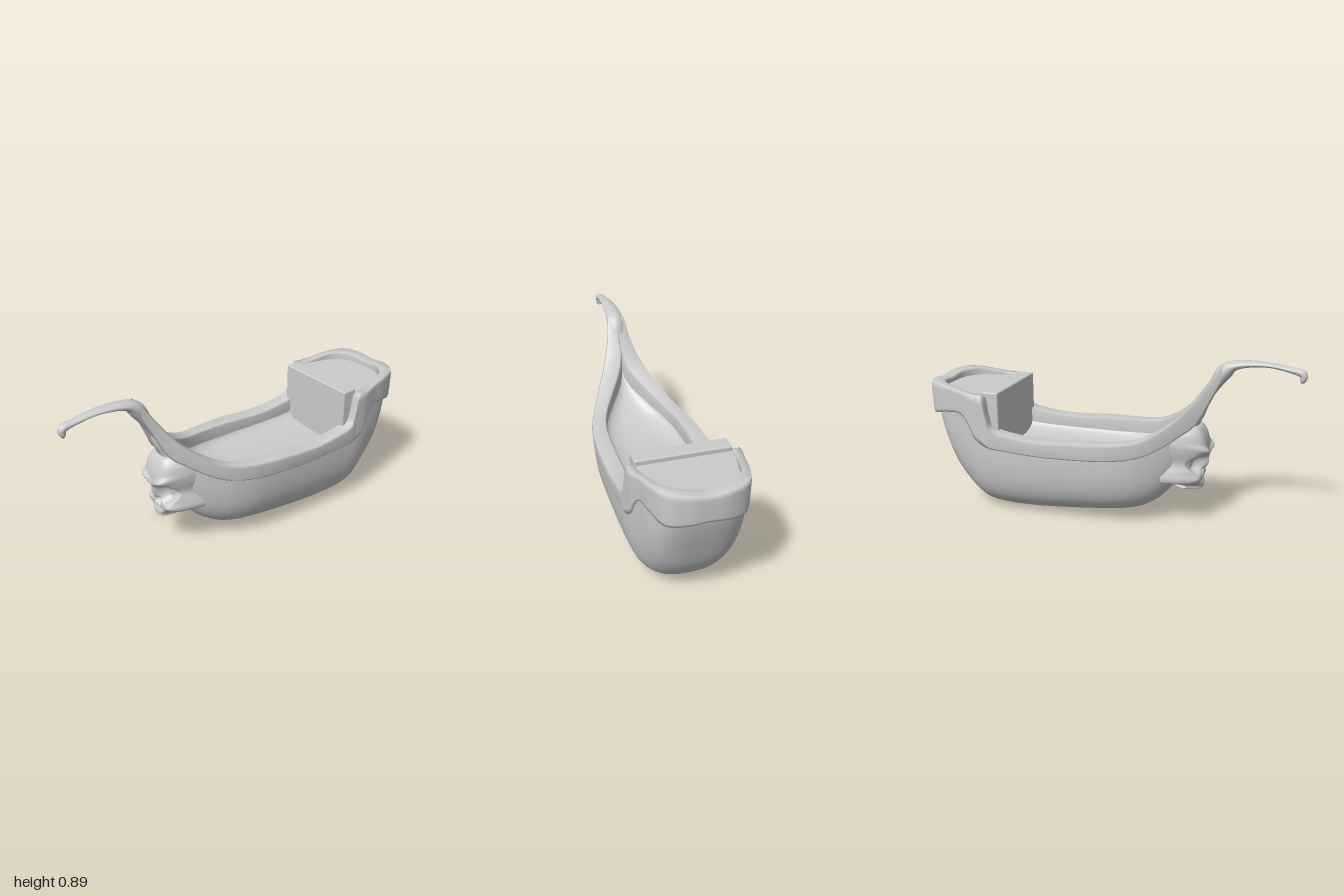
import * as THREE from 'three';
import { RoundedBoxGeometry } from 'three/addons/geometries/RoundedBoxGeometry.js';

const material = new THREE.MeshStandardMaterial({ color: 0xcccccc, side: THREE.DoubleSide });

// Catmull-Rom interpolation of rows of numbers, n steps per span
function spline(rows, n) {
  const out = [];
  const at = i => rows[Math.min(Math.max(i, 0), rows.length - 1)];
  for (let i = 0; i < rows.length - 1; i++) {
    for (let s = 0; s < n; s++) {
      const t = s / n;
      out.push(rows[i].map((b, k) => {
        const a = at(i - 1)[k], c = at(i + 1)[k], d = at(i + 2)[k];
        return b + 0.5 * t * (c - a + t * (2 * a - 5 * b + 4 * c - d + t * (3 * (b - c) + d - a)));
      }));
    }
  }
  out.push(rows[rows.length - 1]);
  return out;
}

// Smooth skin over equal-length cross-sections
function skin(name, sections, { closed = false, flip = false } = {}) {
  const n = sections[0].length, index = [];
  const span = closed ? n : n - 1;
  for (let i = 0; i < sections.length - 1; i++) {
    for (let j = 0; j < span; j++) {
      const a = i * n + j, b = i * n + (j + 1) % n, c = a + n, d = b + n;
      if (flip) index.push(a, b, c, b, d, c);
      else index.push(a, c, b, b, c, d);
    }
  }
  const g = new THREE.BufferGeometry();
  g.setAttribute('position', new THREE.Float32BufferAttribute(sections.flat(2), 3));
  g.setIndex(index);
  g.computeVertexNormals();
  return named(name, g);
}

function named(name, geometry) {
  const mesh = new THREE.Mesh(geometry, material);
  mesh.name = name;
  return mesh;
}

// U-shaped sections from rows of [z, half width, bottom y, top y]
function shell(name, rows, power, flip) {
  const sections = spline(rows, 5).map(([z, w, k, t]) => {
    const section = [];
    for (let j = 0; j <= 40; j++) {
      const a = Math.PI * j / 40, c = Math.cos(a);
      const x = Math.sign(c) * Math.pow(Math.abs(c), 2 / power);
      section.push([Math.max(w, 0) * x, t - (t - k) * Math.pow(Math.sin(a), 2 / power), z]);
    }
    return section;
  });
  return skin(name, sections, { flip });
}

// Gunwale: rows of [outer x, outer z, inner x, inner z, bottom y, top y], stern to bow
function rail() {
  const half = [
    [0, -1, 0, -.93, .54, .675], [.1, -.993, .09, -.925, .53, .685],
    [.19, -.95, .155, -.89, .52, .69], [.232, -.86, .195, -.84, .54, .685],
    [.252, -.77, .215, -.76, .545, .67], [.264, -.72, .225, -.72, .5, .662],
    [.274, -.675, .232, -.67, .42, .657], [.277, -.625, .235, -.62, .385, .648],
    [.279, -.603, .222, -.6, .378, .55], [.282, -.57, .205, -.57, .372, .478],
    [.284, -.45, .2, -.45, .365, .45], [.287, -.3, .2, -.3, .36, .44],
    [.286, -.1, .2, -.1, .365, .452], [.267, .07, .19, .07, .372, .46],
    [.23, .2, .155, .2, .39, .478], [.185, .3, .1, .3, .43, .525],
    [.13, .4, .03, .4, .495, .605], [.09, .47, 0, .46, .55, .685],
    [.062, .53, 0, .52, .665, .77], [.046, .59, 0, .58, .79, .86]];
  const mirrored = half.slice(1).map(([a, b, c, ...rest]) => [-a, b, -c, ...rest]);
  const profile = [[.06, 0], [0, .1], [-.06, .85], [.03, 1], [.9, 1], [1, .9], [1, .1], [.94, 0]];
  const path = spline([...half.reverse(), ...mirrored], 6);
  return skin('gunwale', path.map(([xo, zo, xi, zi, yb, yt]) => profile.map(([s, h]) =>
    [xo + (xi - xo) * s, yb + (yt - yb) * h, zo + (zi - zo) * s])), { closed: true });
}

// Hooked prow: rows of [z, y, half width, half thickness]
function prow() {
  const rows = spline([
    [.50, .66, .03, .02], [.545, .745, .045, .03], [.595, .822, .048, .04], [.66, .862, .043, .022],
    [.8, .873, .033, .013], [.92, .855, .025, .015], [.977, .838, .022, .02],
    [.977, .805, .018, .014], [.967, .797, .002, .002]], 7);
  return skin('prow', rows.map(([z, y, a, b], i) => {
    const p = rows[Math.max(i - 1, 0)], q = rows[Math.min(i + 1, rows.length - 1)];
    const dz = q[0] - p[0], dy = q[1] - p[1], len = Math.hypot(dz, dy) || 1;
    return Array.from({ length: 20 }, (_, j) => {
      const t = -2 * Math.PI * j / 20, up = b * Math.sin(t);
      return [a * Math.cos(t), y + up * dz / len, z - up * dy / len];
    });
  }), { closed: true });
}

// Skull relief: rows of [y, half width, front z], with sockets, nose and brow pushed in or out
function skull() {
  const rows = spline([
    [.215, .04, .33], [.192, .045, .44], [.195, .052, .5], [.212, .06, .508], [.228, .1, .505],
    [.24, .145, .5], [.265, .156, .5], [.3, .15, .505], [.35, .135, .515], [.41, .147, .528],
    [.46, .148, .522], [.505, .137, .505], [.535, .105, .48], [.552, .06, .42]], 6);
  const bump = (x, y, cx, cy, rx, ry, p = 2) =>
    Math.exp(-Math.pow(Math.hypot((x - cx) / rx, (y - cy) / ry), p));
  return skin('skull', rows.map(([y, w, zf]) => Array.from({ length: 81 }, (_, j) => {
    const u = 1 - j / 40, x = u * w, m = Math.abs(x);
    let z = zf - (zf - .31) * Math.pow(Math.abs(u), 4.5) * Math.min(1, w / .13);
    z -= .058 * bump(m, y, .062, .34, .041, .052, 5);
    z -= .035 * bump(m, y, .011, .28, .014, .022, 4);
    z += .02 * bump(m, y, 0, .335, .016, .04);
    z += .024 * bump(m, y, .065, .412 + (m - .065) * .45, .06, .018);
    z += .015 * bump(m, y, .1, .262, .045, .02);
    z -= .02 * bump(m, y, .085, .222, .025, .014);
    return [x, y, z];
  })));
}

export function createModel() {
  const model = new THREE.Group();
  model.name = 'boat';

  model.add(shell('hull', [
    [-.962, 0, .54, .6], [-.958, .08, .53, .6], [-.94, .15, .455, .6], [-.9, .2, .335, .6],
    [-.84, .232, .185, .6], [-.76, .25, .08, .58], [-.69, .262, .03, .48], [-.62, .27, .01, .42],
    [-.5, .274, .002, .41], [-.3, .276, .01, .41], [0, .27, .04, .41], [.15, .243, .06, .425],
    [.25, .203, .1, .45], [.33, .16, .17, .49], [.4, .112, .28, .54], [.44, .08, .41, .58],
    [.475, .05, .53, .62], [.5, .035, .585, .66], [.52, 0, .64, .7]], 2.9, false));

  // Dished floor rising into the bow
  model.add(shell('innerFloor', [
    [-.6, .21, .345, .43], [-.4, .208, .34, .42], [-.1, .208, .34, .42], [.07, .198, .345, .43],
    [.2, .163, .37, .45], [.3, .11, .415, .5], [.4, .042, .5, .57], [.46, .008, .58, .65]], 3, true));

  model.add(rail(), prow(), skull());

  // Seat board across the boat
  const board = named('seatBoard', new RoundedBoxGeometry(.474, .35, .085, 2, .008));
  board.position.set(0, .495, -.592);
  model.add(board);

  // Raised stern deck
  const right = [[.235, -.6], [.228, -.72], [.205, -.85], [.165, -.91], [.09, -.945]];
  const left = right.map(([x, z]) => [-x, z]).reverse();
  const outline = new THREE.Shape([...right, ...left].map(([x, z]) => new THREE.Vector2(x, z)));
  const deckGeometry = new THREE.ExtrudeGeometry(outline, { depth: .06, bevelEnabled: false });
  deckGeometry.rotateX(Math.PI / 2);
  const deck = named('sternDeck', deckGeometry);
  deck.position.y = .645;
  model.add(deck);

  return model;
}
